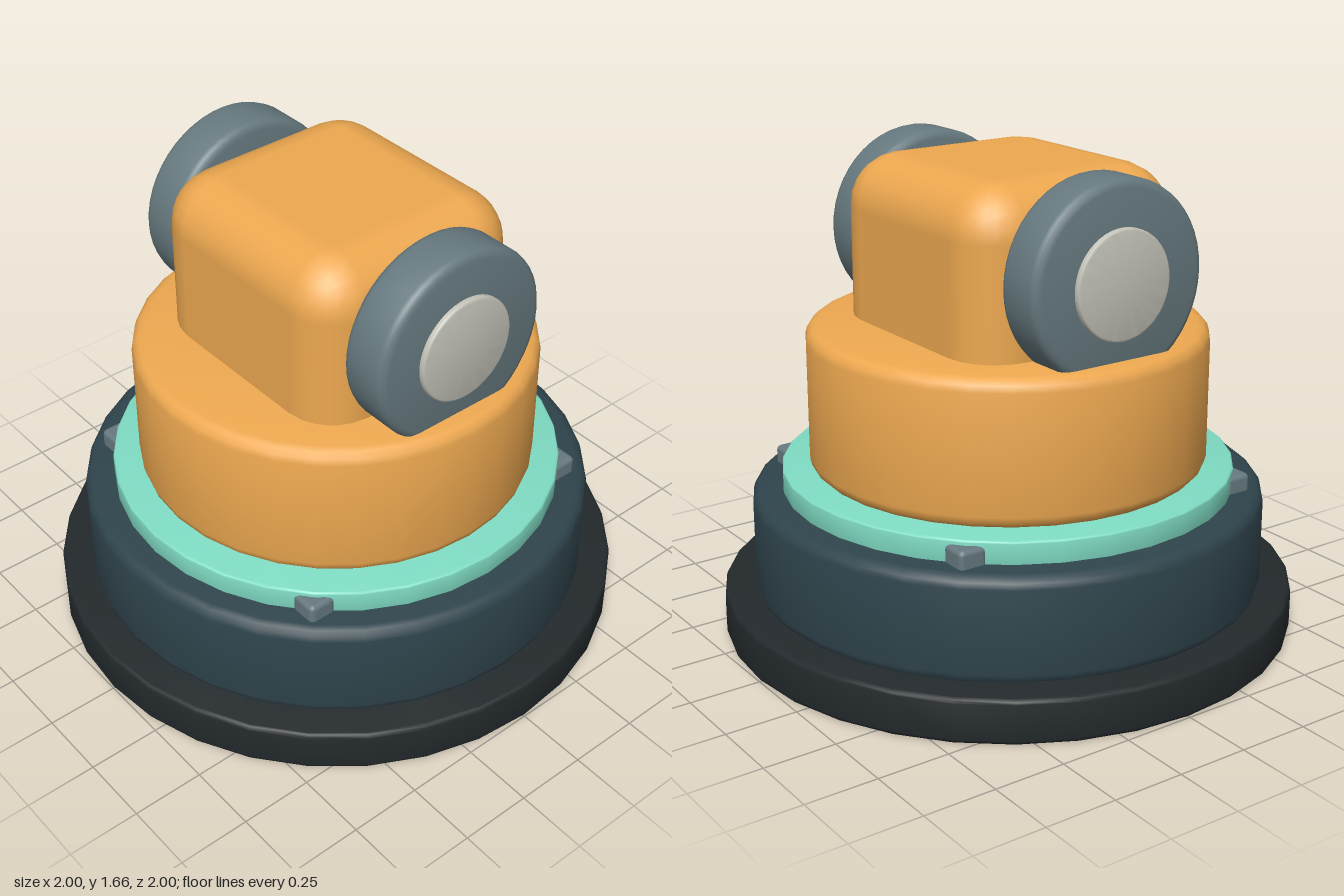
import * as THREE from 'three';
import { toCreasedNormals } from 'three/addons/utils/BufferGeometryUtils.js';
import { RoundedBoxGeometry } from 'three/addons/geometries/RoundedBoxGeometry.js';

const material = (color) => new THREE.MeshStandardMaterial({ color });

// Solid disc from y0 to y1 with rounded rims, turned around y
function bevelledDisc(radius, y0, y1, bevel, segments = 32) {
  const points = [new THREE.Vector2(0, y0)];
  const steps = 3;
  for (const [cy, start] of [[y0 + bevel, -Math.PI / 2], [y1 - bevel, 0]]) {
    for (let i = 0; i <= steps; i++) {
      const a = start + (i / steps) * Math.PI / 2;
      points.push(new THREE.Vector2(radius - bevel + bevel * Math.cos(a), cy + bevel * Math.sin(a)));
    }
  }
  points.push(new THREE.Vector2(0, y1));
  return toCreasedNormals(new THREE.LatheGeometry(points, segments), 0.62);
}

export function createModel() {
  const model = new THREE.Group();
  const dark = material(0x23292c);
  const slate = material(0x2f444c);
  const mint = material(0x7fdbc3);
  const orange = material(0xeda850);
  const steel = material(0x66797f);
  const pale = material(0xc2c2b8);

  const add = (name, geometry, mat, parent = model) => {
    const mesh = new THREE.Mesh(geometry, mat);
    mesh.name = name;
    parent.add(mesh);
    return mesh;
  };

  // Stacked round base
  add('basePlate', bevelledDisc(1, 0, 0.155, 0.015), dark);
  add('pedestal', bevelledDisc(0.89, 0.14, 0.51, 0.04), slate);
  add('bearingRing', bevelledDisc(0.785, 0.5, 0.587, 0.008), mint);
  add('turntable', bevelledDisc(0.69, 0.58, 1.08, 0.045), orange);

  // Four stops around the ring
  for (const sx of [-1, 1]) {
    for (const sz of [-1, 1]) {
      const stop = add('ringStop', new RoundedBoxGeometry(0.1, 0.1, 0.1, 2, 0.018), steel);
      stop.position.set(sx * 0.547, 0.52, sz * 0.547);
    }
  }

  // Shoulder housing, its lower end sunk in the turntable
  const housing = add('shoulderHousing', new RoundedBoxGeometry(0.84, 0.84, 0.9, 3, 0.18), orange);
  housing.position.y = 1.22;

  // Pivot drums with pale caps at front and back
  for (const [name, turn] of [['frontPivot', 0], ['backPivot', Math.PI]]) {
    const pivot = new THREE.Group();
    pivot.name = name;
    pivot.position.y = 1.33;
    pivot.rotation.y = turn;
    const drum = add('pivotDrum', bevelledDisc(0.335, 0.43, 0.612, 0.03, 48), steel, pivot);
    const cap = add('pivotCap', bevelledDisc(0.182, 0.59, 0.632, 0.008, 48), pale, pivot);
    drum.rotation.x = cap.rotation.x = Math.PI / 2;
    model.add(pivot);
  }

  return model;
}
